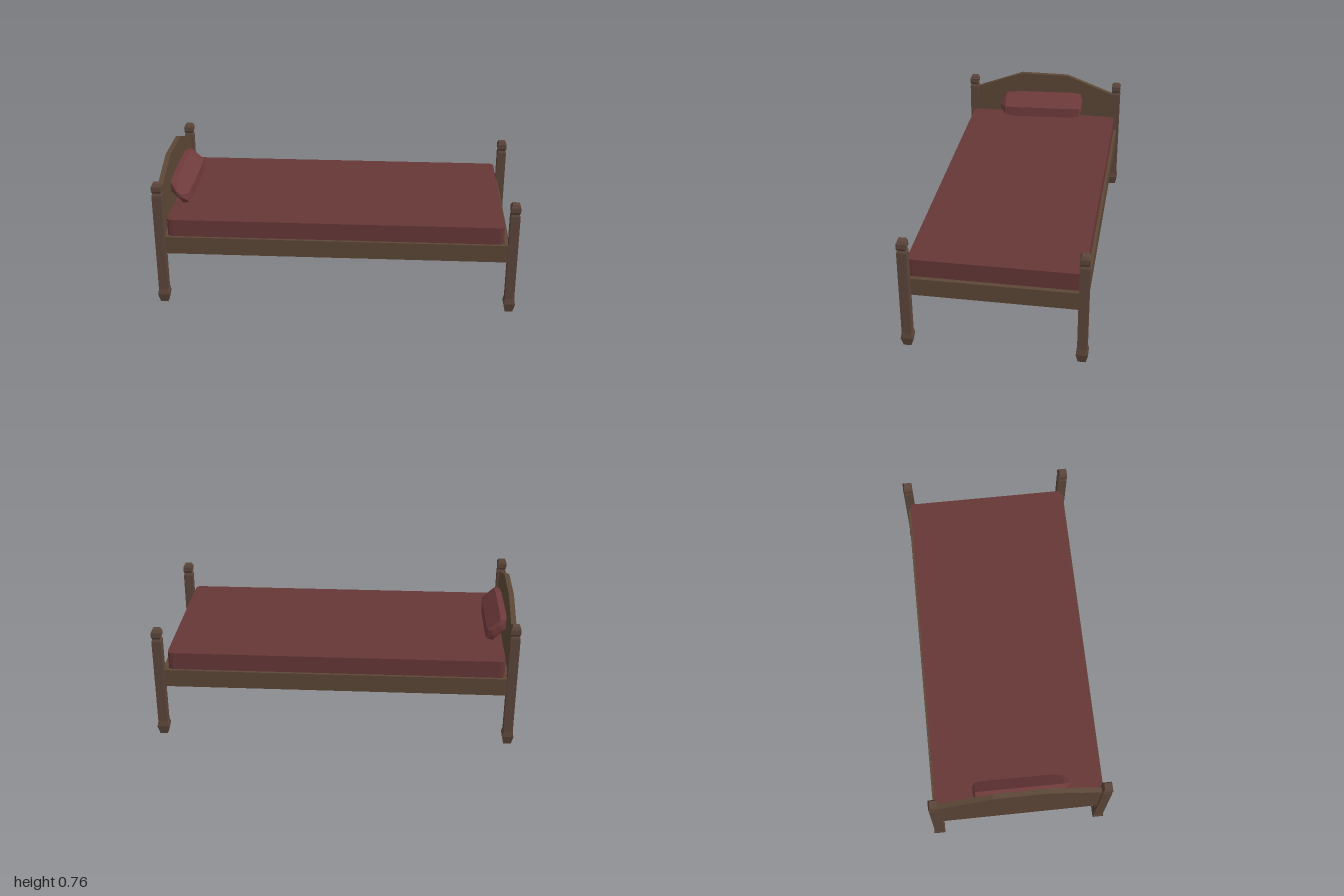
import * as THREE from 'three';

const mat = (name, color) => Object.assign(new THREE.MeshStandardMaterial({ color }), { name });

// Unshared corners give every face its own flat normal
function facet(geo) {
  const g = geo.index ? geo.toNonIndexed() : geo;
  g.computeVertexNormals();
  return g;
}

// Square turned post: flared foot, plain shaft, neck and faceted finial
function postGeometry(shaftTop) {
  const profile = [
    [0, 0], [0.021, 0], [0.032, 0.05], [0.026, 0.082], [0.026, shaftTop - 0.018],
    [0.021, shaftTop - 0.004], [0.0265, shaftTop + 0.008], [0.0265, shaftTop + 0.035],
    [0.018, shaftTop + 0.052], [0, shaftTop + 0.052],
  ].map(([half, y]) => new THREE.Vector2(half * Math.SQRT2, y));
  return facet(new THREE.LatheGeometry(profile, 4, Math.PI / 4));
}

// Cushion: one hexagonal section scaled and shifted along z, closed at both ends
function pillowGeometry() {
  const section = [[-0.945, 0.643], [-0.91, 0.645], [-0.838, 0.575], [-0.835, 0.515], [-0.87, 0.507], [-0.945, 0.585]];
  const cx = -0.892, cy = 0.578;
  const stations = [[-0.25, 0.45], [-0.238, 0.9], [-0.19, 1], [0.16, 1], [0.245, 0.9], [0.278, 0.25]];
  const n = section.length, pos = [], index = [];
  for (const [z, s] of stations)
    for (const [x, y] of section) pos.push(cx + (x - cx) * s, cy + (y - cy) * s - 0.03 * z, z);
  for (let i = 0; i < stations.length - 1; i++)
    for (let j = 0; j < n; j++) {
      const a = i * n + j, b = i * n + (j + 1) % n;
      index.push(a, a + n, b, b, a + n, b + n);
    }
  const last = (stations.length - 1) * n;
  for (let j = 1; j < n - 1; j++) {
    index.push(0, j, j + 1);
    index.push(last, last + j + 1, last + j);
  }
  const g = new THREE.BufferGeometry();
  g.setAttribute('position', new THREE.Float32BufferAttribute(pos, 3));
  g.setIndex(index);
  return facet(g);
}

// Mattress: rounded rectangle in plan, raised to its thickness
function mattressGeometry(x0, x1, halfZ, y0, y1, r) {
  const s = new THREE.Shape();
  s.moveTo(x0 + r, -halfZ);
  s.lineTo(x1 - r, -halfZ);
  s.quadraticCurveTo(x1, -halfZ, x1, -halfZ + r);
  s.lineTo(x1, halfZ - r);
  s.quadraticCurveTo(x1, halfZ, x1 - r, halfZ);
  s.lineTo(x0 + r, halfZ);
  s.quadraticCurveTo(x0, halfZ, x0, halfZ - r);
  s.lineTo(x0, -halfZ + r);
  s.quadraticCurveTo(x0, -halfZ, x0 + r, -halfZ);
  const g = new THREE.ExtrudeGeometry(s, { depth: y1 - y0, bevelEnabled: false, curveSegments: 3 });
  return g.rotateX(-Math.PI / 2).translate(0, y0, 0);
}

export function createModel() {
  const bed = new THREE.Group();
  bed.name = 'bed';
  const postWood = mat('post wood', 0x5c463a);
  const boardWood = mat('board wood', 0x5c4736);
  const fabric = mat('mattress fabric', 0x673737);
  const pillowFabric = mat('pillow fabric', 0x703b3c);

  const add = (name, geo, material, x = 0, y = 0, z = 0) => {
    const m = new THREE.Mesh(geo, material);
    m.name = name;
    m.position.set(x, y, z);
    bed.add(m);
    return m;
  };

  // Posts and side rails, mirrored across z
  const headPost = postGeometry(0.67), footPost = postGeometry(0.598);
  for (const [side, s] of [['front', 1], ['back', -1]]) {
    add(`${side}HeadPost`, headPost, postWood, -0.967, 0, s * 0.465);
    add(`${side}FootPost`, footPost, postWood, 0.967, 0, s * 0.465);
    add(`${side}SideRail`, new THREE.BoxGeometry(1.9, 0.1, 0.026), boardWood, 0, 0.352, s * 0.465);
  }

  // Foot rail and the closed base under the mattress
  add('footRail', new THREE.BoxGeometry(0.026, 0.1, 0.93), boardWood, 0.937, 0.352, 0);
  add('base', new THREE.BoxGeometry(1.89, 0.09, 0.92), boardWood, -0.01, 0.3475, 0);

  // Headboard with sloping shoulders
  const board = new THREE.Shape([
    [-0.465, 0.302], [0.465, 0.302], [0.465, 0.64], [0.148, 0.76], [-0.148, 0.76], [-0.465, 0.64],
  ].map(([z, y]) => new THREE.Vector2(z, y)));
  const boardGeo = new THREE.ExtrudeGeometry(board, { depth: 0.028, bevelEnabled: false });
  add('headboard', boardGeo.rotateY(Math.PI / 2), boardWood, -0.981, 0, 0);

  add('mattress', mattressGeometry(-0.93, 0.92, 0.462, 0.385, 0.5, 0.03), fabric);
  add('pillow', pillowGeometry(), pillowFabric);
  return bed;
}
